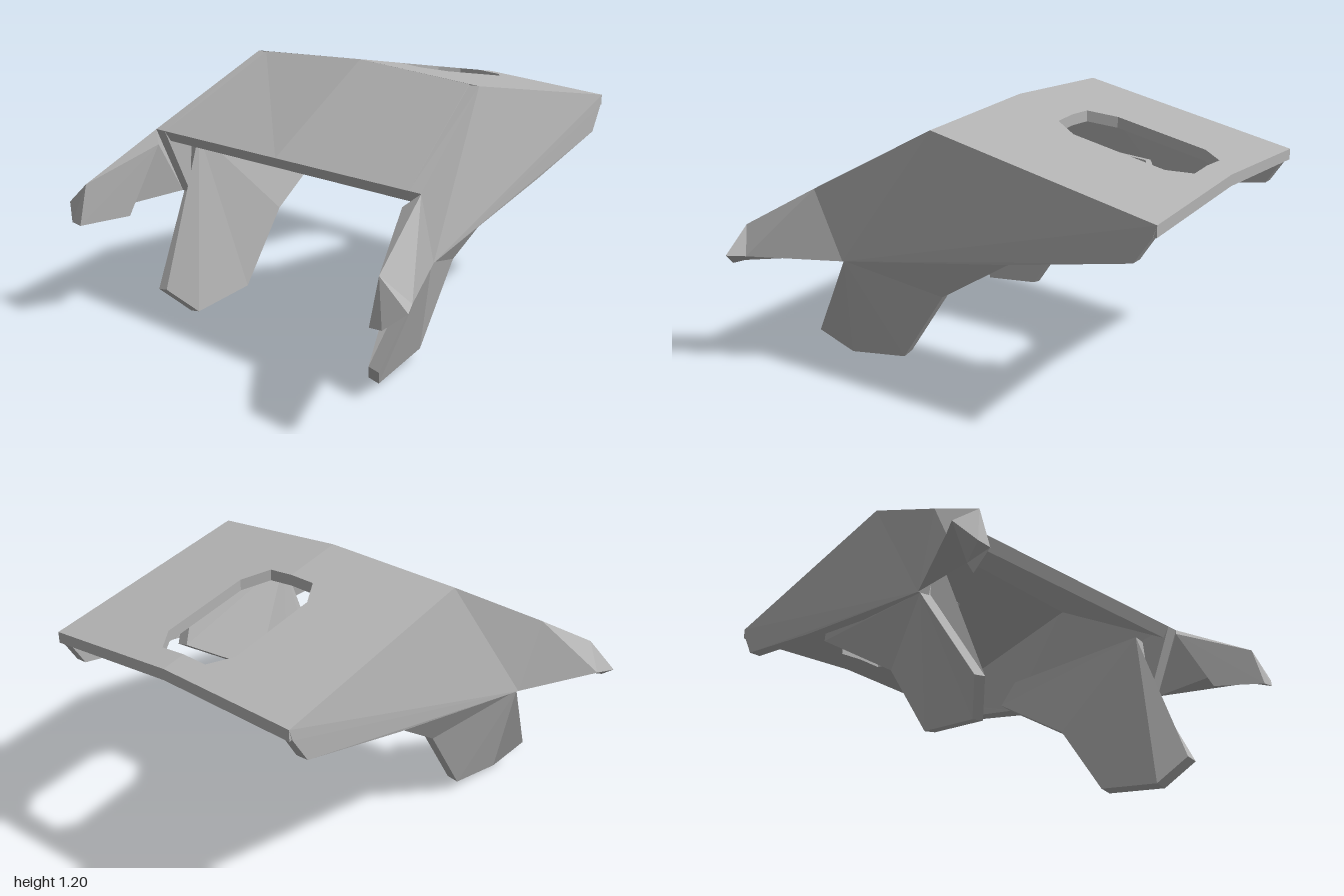
import * as THREE from 'three';

const grey = new THREE.MeshStandardMaterial({ color: 0xb4b4b4, flatShading: true });
grey.name = 'plain grey';

// Closed solid from corner points and polygon faces; side = -1 mirrors it across x
function solid(name, points, faces, side = 1) {
  const p = points.map(([x, y, z]) => new THREE.Vector3(x * side, y, z));
  const tris = [];
  for (const f of faces)
    for (let i = 1; i < f.length - 1; i++) tris.push([p[f[0]], p[f[i]], p[f[i + 1]]]);
  // a negative volume means the faces point inward, so turn them round
  const volume = tris.reduce((v, [a, b, c]) => v + a.dot(b.clone().cross(c)), 0);
  if (volume < 0) tris.forEach((t) => t.reverse());
  const g = new THREE.BufferGeometry().setFromPoints(tris.flat());
  g.computeVertexNormals();
  const mesh = new THREE.Mesh(g, grey);
  mesh.name = name;
  return mesh;
}

// Plate between an outer and an inner loop, each fanned from its first corner
function plate(name, outer, inner, side) {
  const n = outer.length;
  const ids = outer.map((_, i) => i);
  const faces = [ids, ids.map((i) => n + i).reverse()];
  for (const i of ids) {
    const j = (i + 1) % n;
    faces.push([j, i, n + i, n + j]);
  }
  return solid(name, [...outer, ...inner], faces, side);
}

// One half of the gently ridged roof, notched with half of the opening
function roofHalf(side) {
  const outline = [
    [0, -1], [0.65, -1], [0.65, 0.05], [0, 0.05], [0, -0.235],
    [0.12, -0.235], [0.19, -0.355], [0.19, -0.79], [0.12, -0.89], [0, -0.89],
  ].map(([x, z]) => new THREE.Vector2(x * side, -z));
  const g = new THREE.ExtrudeGeometry(new THREE.Shape(outline), { depth: 0.05, bevelEnabled: false });
  g.rotateX(-Math.PI / 2);
  const pos = g.attributes.position;
  for (let i = 0; i < pos.count; i++) {
    const x = Math.abs(pos.getX(i)), z = pos.getZ(i);
    const rise = 1.2 - 0.2 * (0.05 - z) - 0.035 * (x / 0.65);
    pos.setY(i, pos.getY(i) - 0.05 + rise);
  }
  g.computeVertexNormals();
  const mesh = new THREE.Mesh(g, grey);
  mesh.name = 'roof';
  return mesh;
}

export function createModel() {
  const group = new THREE.Group();
  group.name = 'angularShell';

  for (const side of [1, -1]) {
    group.add(roofHalf(side));

    // Sloping front plate
    const front = [[0, 0.855, 0.6], [0.72, 0.855, 0.6], [0.6, 1.167, 0.05], [0, 1.2, 0.05]];
    group.add(plate('frontPlate', front, front.map(([x, y, z]) => [x, y - 0.052, z - 0.03]), side));

    // Side panel, whose thick front edge forms the pillar
    group.add(plate('sidePanel', [
      [0.755, 0.535, 0.48], [0.78, 0.855, 0.6], [0.65, 1.165, 0.05], [0.65, 0.955, -1],
      [0.653, 0.905, -0.985], [0.66, 0.79, -0.91], [0.695, 0.68, -0.37],
    ], [
      [0.7, 0.535, 0.48], [0.72, 0.855, 0.6], [0.6, 1.163, 0.05], [0.6, 0.92, -0.99],
      [0.6, 0.9, -0.98], [0.605, 0.79, -0.91], [0.635, 0.69, -0.37],
    ], side));

    // Leg leaning inward below the side panel
    const leg = [
      [0.745, 0.535, 0.48], [0.675, 0.12, 0.72], [0.582, 0.0, 0.61], [0.562, 0.045, 0.31],
      [0.56, 0.39, 0.08], [0.597, 0.68, -0.37], [0.63, 0.8, -0.3], [0.71, 0.82, 0.45],
    ];
    group.add(plate('leg', leg, leg.map(([x, y, z]) => [x - 0.055, y + 0.01, z]), side));

    // Forward prong: outer flap ending in a small toe
    group.add(solid('frontProng', [
      [0.78, 0.855, 0.6],    // 0 outer top
      [0.755, 0.535, 0.48],  // 1 knee
      [0.955, 0.54, 0.87],   // 2 flap corner
      [0.72, 0.8, 0.64],     // 3 inner top
      [0.865, 0.65, 0.95],   // 4 front top
      [1.0, 0.54, 0.95],     // 5 front outer
      [0.92, 0.47, 1.0],     // 6 toe outer
      [0.86, 0.465, 1.0],    // 7 toe inner
      [0.755, 0.485, 0.8],   // 8 toe rear
      [0.76, 0.54, 0.77],    // 9 toe root
    ], [
      [0, 1, 2], [0, 2, 4], [2, 5, 4], [0, 4, 3], [4, 5, 6, 7], [3, 4, 7, 8],
      [3, 8, 9], [3, 9, 1], [3, 1, 0], [1, 9, 2], [9, 8, 7, 6], [9, 6, 5, 2],
    ], side));
  }
  return group;
}
